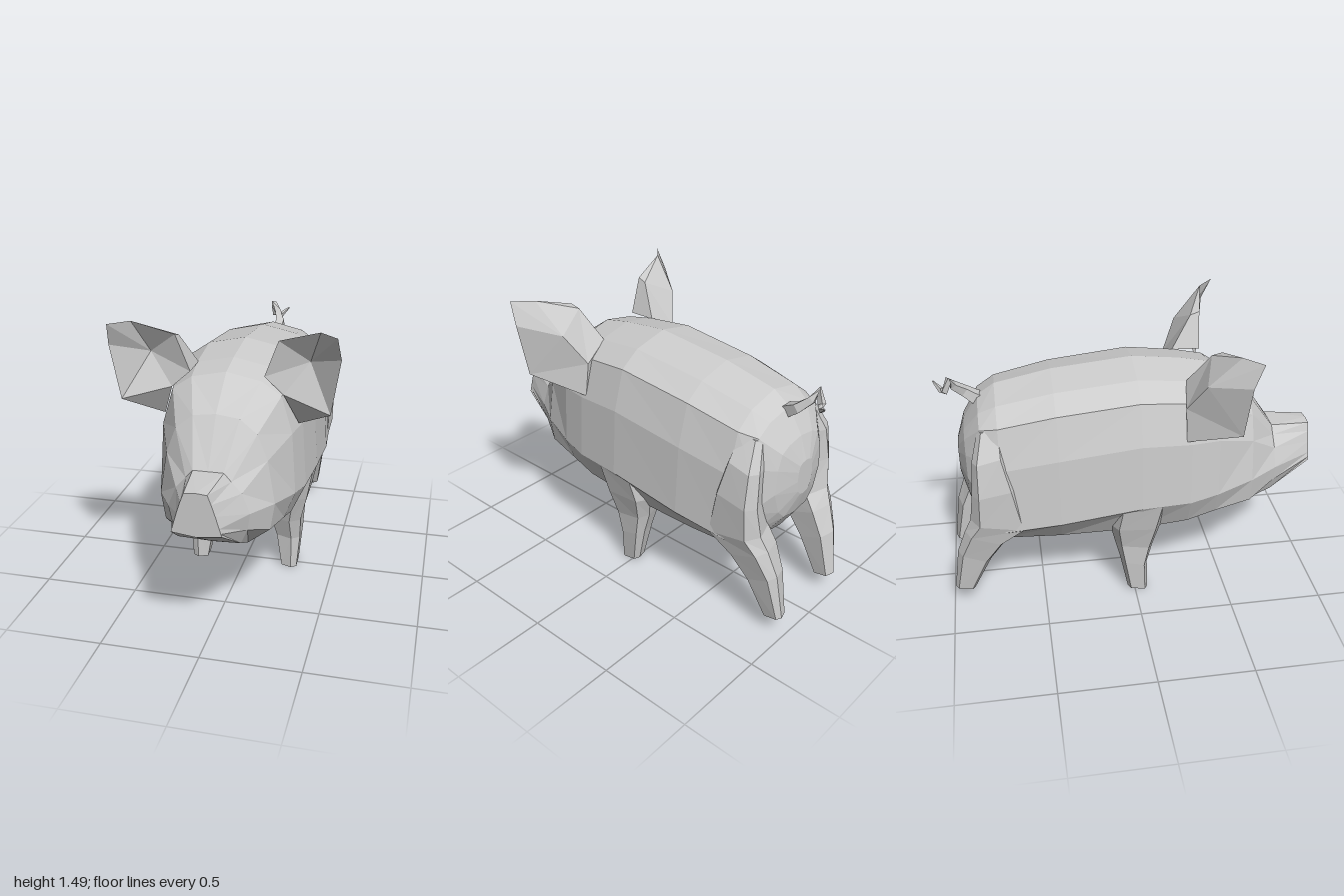
import * as THREE from 'three';

const material = new THREE.MeshStandardMaterial({ color: 0xcccccc, flatShading: true });

// Geometry from a flat list of [x, y, z] triangle corners
function fromCorners(corners) {
  const g = new THREE.BufferGeometry();
  g.setAttribute('position', new THREE.Float32BufferAttribute(corners.flat(), 3));
  g.computeVertexNormals();
  return g;
}

// Skin over a row of closed rings, capped at both ends; the quads of the
// second half are split the other way so symmetric rings stay symmetric
function loft(rings) {
  const out = [], n = rings[0].length;
  for (let r = 0; r < rings.length - 1; r++) {
    const a = rings[r], b = rings[r + 1];
    for (let i = 0; i < n; i++) {
      const j = (i + 1) % n;
      if (i < n / 2) out.push(a[i], a[j], b[j], a[i], b[j], b[i]);
      else out.push(a[i], a[j], b[i], a[j], b[j], b[i]);
    }
  }
  const cap = (ring, flip) => {
    const c = [0, 1, 2].map(k => ring.reduce((s, p) => s + p[k], 0) / n);
    ring.forEach((p, i) => {
      const q = ring[(i + 1) % n];
      out.push(c, ...(flip ? [q, p] : [p, q]));
    });
  };
  cap(rings[0], true);
  cap(rings[rings.length - 1], false);
  return fromCorners(out);
}

// Copy reflected in x, with the corner order swapped to keep faces outward
function mirrored(geometry) {
  const p = geometry.attributes.position, out = [];
  for (let i = 0; i < p.count; i += 3)
    for (const k of [i, i + 2, i + 1]) out.push([-p.getX(k), p.getY(k), p.getZ(k)]);
  return fromCorners(out);
}

// Body cross-section: half outline from belly to back, then its reflection
function closeHalf(half, z) {
  const right = half.slice(1, -1).reverse().map(([x, y]) => [-x, y]);
  return [...half, ...right].map(([x, y]) => [x, y, z]);
}

function bodyRing([z, top, bottom, w, widestY, flankX, flankY]) {
  const up = f => widestY + (top - widestY) * f;
  return closeHalf([
    [0, bottom], [Math.min(0.155, 0.5 * w), bottom + 0.035 * (top - bottom)],
    [flankX, flankY], [w, widestY],
    [0.94 * w, up(0.52)], [0.78 * w, up(0.83)], [0.5 * w, up(0.94)], [0, top],
  ], z);
}

function makeBody() {
  // z, top, bottom, half width, height of widest point, flank x, flank y
  const rings = [
    [-0.9, 0.9, 0.71, 0.06, 0.8, 0.05, 0.74],
    [-0.86, 1.02, 0.58, 0.19, 0.77, 0.15, 0.65],
    [-0.78, 1.15, 0.46, 0.3, 0.68, 0.23, 0.54],
    [-0.69, 1.21, 0.37, 0.355, 0.52, 0.26, 0.42],
    [-0.4, 1.27, 0.33, 0.385, 0.56, 0.27, 0.41],
    [0.02, 1.31, 0.315, 0.395, 0.62, 0.285, 0.42],
    [0.28, 1.28, 0.33, 0.378, 0.62, 0.305, 0.46],
    [0.43, 1.25, 0.36, 0.35, 0.64, 0.295, 0.5],
  ].map(bodyRing);
  // Brow, snout base and nose plate
  rings.push(closeHalf([[0, 0.43], [0.155, 0.445], [0.265, 0.53], [0.287, 0.67],
    [0.25, 0.89], [0.2, 1.02], [0.115, 1.09], [0, 1.105]], 0.63));
  rings.push(closeHalf([[0, 0.515], [0.155, 0.52], [0.187, 0.595], [0.2, 0.68],
    [0.16, 0.78], [0.11, 0.835], [0.075, 0.875], [0, 0.875]], 0.78));
  rings.push(closeHalf([[0, 0.645], [0.12, 0.66], [0.115, 0.675], [0.108, 0.7],
    [0.09, 0.76], [0.072, 0.815], [0.055, 0.86], [0, 0.865]], 0.995));
  return loft(rings);
}

// Leg from rows of: y front, y back, z front, z back, x inner, x outer
function makeLeg(rows) {
  const outline = [[1, 0.15], [0.65, 0], [0, 0.15], [0, 0.85], [0.65, 1], [1, 0.85]];
  const mix = THREE.MathUtils.lerp;
  return loft(rows.map(([yf, yb, zf, zb, xi, xo]) =>
    outline.map(([u, v]) => [mix(xi, xo, u), mix(yf, yb, v), mix(zf, zb, v)])));
}

// Ear: rim, hollow front and ridged back
function makeEar() {
  const v = {
    A: [0.185, 1.235, 0.42], B: [0.255, 1.42, 0.43], C: [0.46, 1.485, 0.475],
    D: [0.55, 1.485, 0.56], E: [0.565, 1.37, 0.51], F: [0.52, 1.09, 0.49],
    G: [0.345, 0.98, 0.34],
    H: [0.28, 1.15, 0.42], I: [0.4, 1.31, 0.37],         // hollow
    a: [0.185, 1.24, 0.27], g: [0.35, 0.98, 0.25],       // rear of the root
    b: [0.25, 1.405, 0.38],                              // rear of the rim
    K: [0.33, 1.16, 0.245], L: [0.42, 1.32, 0.325],      // rear ridge
  };
  const faces = 'AHI AIB BIC IDC IED IFE HFI HGF ABb Aba BCb Kab KbL LbC LCD LDE LEF KLF KFg Kga FGg';
  return fromCorners([...faces.replaceAll(' ', '')].map(k => v[k]));
}

// Curly tail: square rings following a bent path, x, y, z, radius
function makeTail() {
  const path = [
    [0, 1.12, -0.76, 0.045], [0.015, 1.17, -0.84, 0.032], [-0.01, 1.22, -0.895, 0.024],
    [-0.04, 1.265, -0.91, 0.02], [-0.035, 1.2, -0.935, 0.02], [0, 1.19, -0.955, 0.016],
    [0.04, 1.225, -0.995, 0.004],
  ];
  const pts = path.map(p => new THREE.Vector3(p[0], p[1], p[2]));
  return loft(pts.map((p, i) => {
    const dir = pts[Math.min(i + 1, pts.length - 1)].clone().sub(pts[Math.max(i - 1, 0)]).normalize();
    const side = new THREE.Vector3(1, 0, 0).addScaledVector(dir, -dir.x).normalize();
    const up = dir.clone().cross(side);
    return [0, 1, 2, 3].map(k => {
      const t = Math.PI * (k / 2 + 0.25), r = path[i][3];
      return p.clone().addScaledVector(side, r * Math.cos(t)).addScaledVector(up, r * Math.sin(t)).toArray();
    });
  }));
}

export function createModel() {
  const pig = new THREE.Group();
  pig.name = 'pig';
  const add = (name, geometry) => {
    const mesh = new THREE.Mesh(geometry, material);
    mesh.name = name;
    pig.add(mesh);
  };
  const addPair = (name, geometry) => {
    add('left' + name, geometry);
    add('right' + name, mirrored(geometry));
  };

  add('body', makeBody());
  add('tail', makeTail());
  addPair('Ear', makeEar());
  addPair('FrontLeg', makeLeg([
    [0.62, 0.62, 0.17, -0.12, 0.2, 0.388],
    [0.45, 0.47, 0.14, -0.14, 0.16, 0.355],
    [0.3, 0.34, 0.1, -0.11, 0.155, 0.32],
    [0.18, 0.22, 0.067, -0.08, 0.185, 0.315],
    [0, 0.02, 0.07, -0.04, 0.215, 0.3],
  ]));
  // Haunch blends into the flank, then narrows to the hoof
  addPair('HindLeg', makeLeg([
    [1.09, 1.06, -0.67, -0.79, 0.15, 0.25],
    [0.96, 0.92, -0.66, -0.83, 0.18, 0.335],
    [0.78, 0.74, -0.61, -0.845, 0.2, 0.365],
    [0.52, 0.58, -0.55, -0.865, 0.165, 0.36],
    [0.42, 0.5, -0.69, -0.9, 0.16, 0.335],
    [0.29, 0.36, -0.78, -0.95, 0.17, 0.3],
    [0.09, 0.11, -0.88, -0.985, 0.19, 0.265],
  ]));
  return pig;
}
